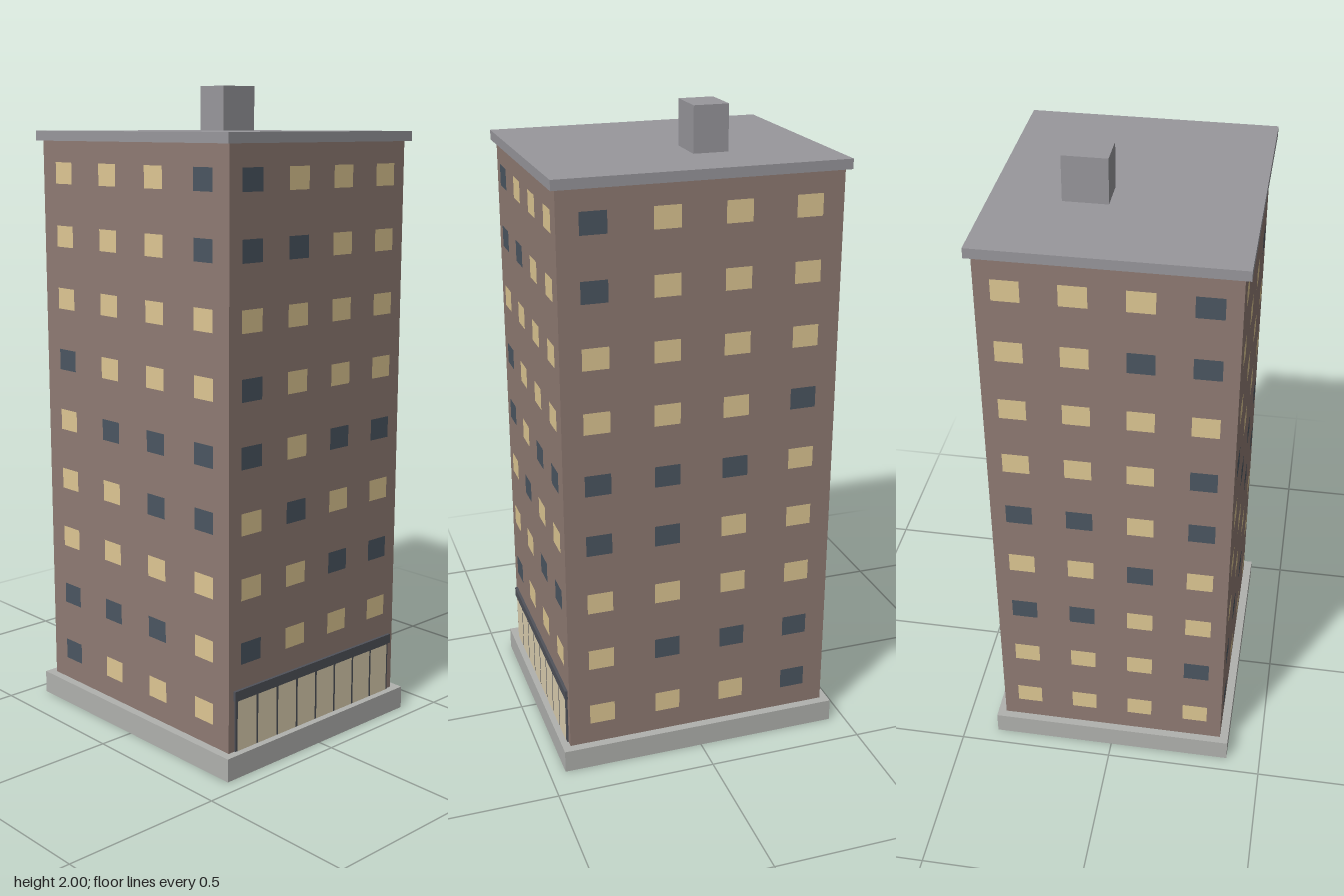
import * as THREE from 'three';

const mat = (color) => new THREE.MeshStandardMaterial({ color });
const brick = mat(0x8f7b73), stone = mat(0xb0b1ae), roofGrey = mat(0x98979c);
const lit = mat(0xdec793), unlit = mat(0x4b5661), shopGlass = mat(0xdccfb0), frame = mat(0x50525a);

// Window lights from the top floor down; D is a dark window
const FACADE = ['DLLL', 'DDLL', 'LLLL', 'DLLL', 'DLDD', 'LDLL', 'LLDD', 'DLLL', 'LLLL'];
const FLANK = ['DLLL', 'DLLL', 'LLLL', 'LLLD', 'DDDL', 'DDLL', 'LLLL', 'LDDD', 'LLLD'];
const HALF_X = 0.363, HALF_Z = 0.425;

// Box given by its minimum and maximum corners
function box(name, material, [x0, y0, z0], [x1, y1, z1]) {
  const mesh = new THREE.Mesh(new THREE.BoxGeometry(x1 - x0, y1 - y0, z1 - z0), material);
  mesh.position.set((x0 + x1) / 2, (y0 + y1) / 2, (z0 + z1) / 2);
  mesh.name = name;
  return mesh;
}

// Grid of flat panes on a wall facing local +z
function windowWall(name, pattern, spacing, offset, turn, reversed) {
  const wall = new THREE.Group();
  wall.name = name;
  const pane = new THREE.PlaneGeometry(0.08, 0.066);
  pattern.forEach((row, floor) => {
    for (let i = 0; i < 4; i++) {
      const dark = row[reversed ? 3 - i : i] === 'D';
      const mesh = new THREE.Mesh(pane, dark ? unlit : lit);
      mesh.name = dark ? 'darkWindow' : 'litWindow';
      mesh.position.set((i - 1.5) * spacing, 1.735 - floor * 0.195, offset + 0.002);
      wall.add(mesh);
    }
  });
  wall.rotation.y = turn;
  return wall;
}

export function createModel() {
  const group = new THREE.Group();
  group.name = 'apartmentTower';

  // Main volumes
  group.add(
    box('plinth', stone, [-0.39, 0, -0.45], [0.39, 0.072, 0.45]),
    box('tower', brick, [-HALF_X, 0.001, -HALF_Z], [HALF_X, 1.84, HALF_Z]),
    box('roofSlab', roofGrey, [-0.38, 1.833, -0.44], [0.38, 1.863, 0.44]),
    box('roofHut', roofGrey, [0.042, 1.833, -0.141], [0.174, 2, -0.034])
  );

  // Windows; the ground floor front is a shop
  group.add(
    windowWall('frontWindows', FACADE.slice(0, 8), 0.184, HALF_Z, 0, false),
    windowWall('backWindows', FACADE, 0.184, HALF_Z, Math.PI, true),
    windowWall('rightWindows', FLANK, 0.2133, HALF_X, Math.PI / 2, false),
    windowWall('leftWindows', FLANK, 0.2133, HALF_X, -Math.PI / 2, true)
  );

  // Shop front: dark frame, fascia and eight glass panels
  const shop = new THREE.Group();
  shop.name = 'shopFront';
  shop.add(
    box('shopFrame', frame, [-0.34, 0.07, 0.42], [0.34, 0.235, 0.429]),
    box('shopFascia', frame, [-0.345, 0.232, 0.42], [0.345, 0.262, 0.434])
  );
  const glass = new THREE.PlaneGeometry(0.077, 0.156);
  for (let i = 0; i < 8; i++) {
    const panel = new THREE.Mesh(glass, shopGlass);
    panel.name = 'shopWindow';
    panel.position.set((i - 3.5) * 0.084, 0.151, 0.431);
    shop.add(panel);
  }
  group.add(shop);
  return group;
}
